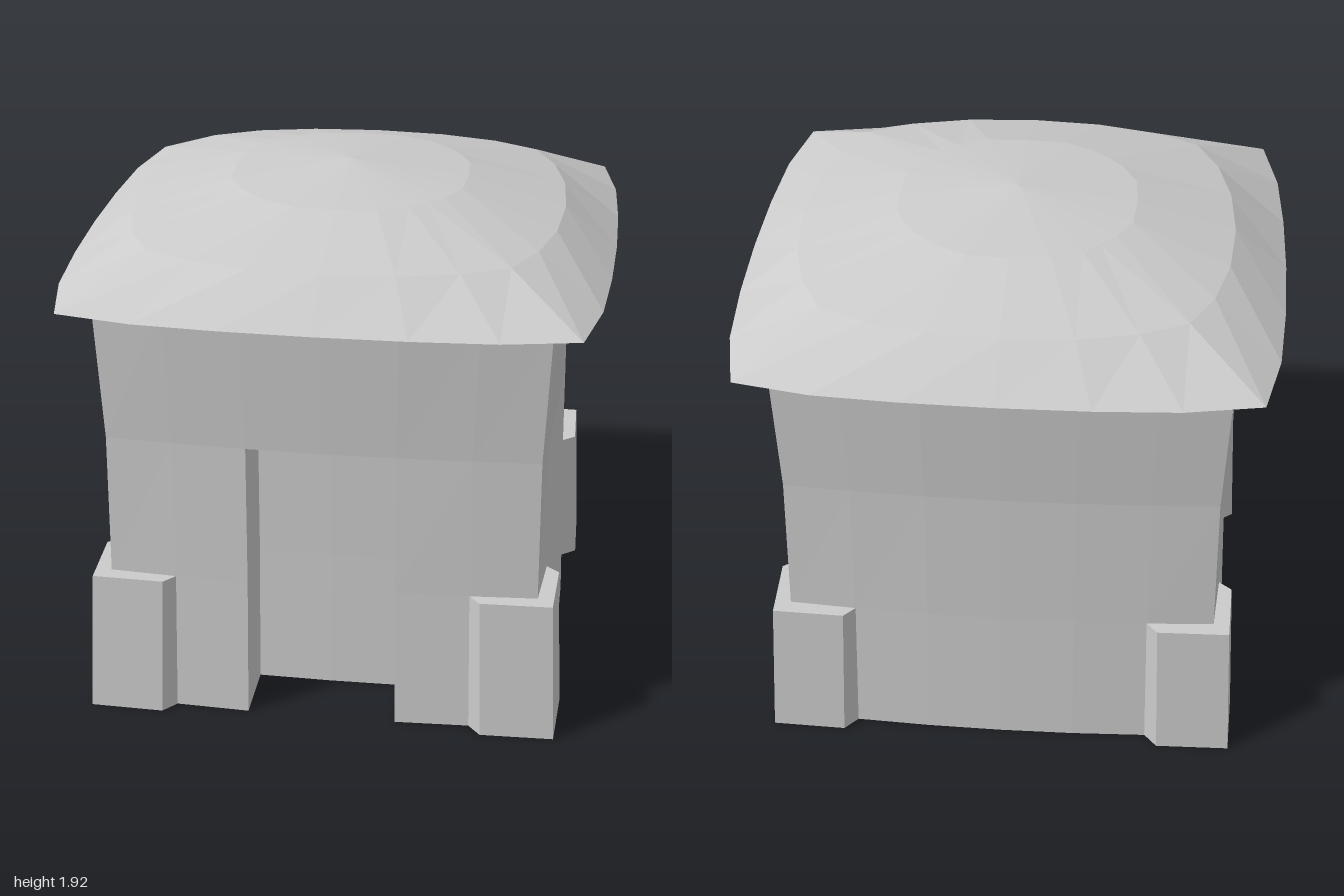
import * as THREE from 'three';
import { mergeGeometries } from 'three/addons/utils/BufferGeometryUtils.js';

const material = new THREE.MeshStandardMaterial({ color: 0xcccccc, flatShading: true });

// Closed square-ish ring of [x, z] points from half a side profile [along, outward], middle to corner
function squareRing(half) {
  const side = [...half.slice(1).reverse().map(([s, d]) => [-s, d]), ...half.slice(0, -1)];
  const ring = [];
  for (let k = 0; k < 4; k++) {
    for (const [s, d] of side) ring.push([[s, d], [d, -s], [-s, -d], [-d, s]][k]);
  }
  return ring;
}

function soup(quads) {
  const g = new THREE.BufferGeometry();
  const pos = quads.flatMap(([a, b, c, d]) => [a, b, c, a, c, d]).flat();
  g.setAttribute('position', new THREE.Float32BufferAttribute(pos, 3));
  g.computeVertexNormals();
  return g;
}

// Walls between stacked rings; skip(row, column) leaves openings
function loft(rings, heights, skip = () => false) {
  const quads = [];
  const at = (r, i) => {
    const [x, z] = rings[r][i % rings[r].length];
    return [x, heights[r], z];
  };
  for (let r = 0; r < rings.length - 1; r++) {
    for (let i = 0; i < rings[r].length; i++) {
      if (!skip(r, i)) quads.push([at(r, i), at(r, i + 1), at(r + 1, i + 1), at(r + 1, i)]);
    }
  }
  return soup(quads);
}

// Flat cap over an outline, facing up or down
function cap(outline, y, up) {
  const shape = new THREE.Shape(outline.map(([x, z]) => new THREE.Vector2(x, up ? -z : z)));
  const g = new THREE.ShapeGeometry(shape).toNonIndexed();
  g.deleteAttribute('uv');
  return g.rotateX(up ? -Math.PI / 2 : Math.PI / 2).translate(0, y, 0);
}

function part(name, ...geometries) {
  const mesh = new THREE.Mesh(mergeGeometries(geometries), material);
  mesh.name = name;
  return mesh;
}

export function createModel() {
  const group = new THREE.Group();

  // Bowed walls, waisted in the middle, with the doorway left open at the front
  const heights = [0, 0.545, 1.09, 1.62];
  const wallRings = [[0.84, 0.805], [0.825, 0.792], [0.82, 0.79], [0.85, 0.815]].map(([mid, corner]) =>
    squareRing([0, 0.345, 0.69, 1].map(t => [t * corner, mid - (mid - corner) * t * t])));
  const isDoor = (row, i) => row < 2 && (i === 2 || i === 3);

  // Doorway recess: back, jambs and lintel
  const depth = 0.26;
  const outer = (r, i) => [wallRings[r][i][0], heights[r], wallRings[r][i][1]];
  const inner = (r, i) => {
    const [x, y, z] = outer(r, i);
    return [x, y, z - depth];
  };
  const recess = [];
  for (let r = 0; r < 2; r++) {
    for (const i of [2, 3]) recess.push([inner(r, i), inner(r, i + 1), inner(r + 1, i + 1), inner(r + 1, i)]);
    recess.push([outer(r, 2), inner(r, 2), inner(r + 1, 2), outer(r + 1, 2)]);
    recess.push([inner(r, 4), outer(r, 4), outer(r + 1, 4), inner(r + 1, 4)]);
  }
  for (const i of [2, 3]) recess.push([inner(2, i), inner(2, i + 1), outer(2, i + 1), outer(2, i)]);

  // Underside follows the walls and the recess
  const base = wallRings[0];
  const back = [2, 3, 4].map(i => [base[i][0], base[i][1] - depth]);
  const floor = [...base.slice(0, 3), ...back, ...base.slice(4)];
  group.add(part('walls', loft(wallRings, heights, isDoor), cap(floor, 0, false)));
  group.add(part('doorway', soup(recess)));

  // Tapered corner buttresses with chamfered ends
  const foot = [[0.55, 0.82], [0.6, 0.88], [0.872, 0.872], [0.88, 0.6],
    [0.82, 0.55], [0.7, 0.55], [0.7, 0.7], [0.55, 0.7]];
  const top = foot.map(([x, z]) => [x * 0.975, z * 0.975]);
  for (let k = 0; k < 4; k++) {
    const buttress = part('buttress', loft([foot, top], [0, 0.545]), cap(top, 0.545, true), cap(foot, 0, false));
    buttress.rotation.y = k * Math.PI / 2;
    group.add(buttress);
  }

  // Faceted domed roof with overhanging eaves
  const roofRings = [
    [[0, 1], [0.33, 0.994], [0.64, 0.975], [0.92, 0.92]],
    [[0, 0.805], [0.26, 0.787], [0.48, 0.735], [0.65, 0.65]],
    [[0, 0.44], [0.15, 0.43], [0.26, 0.375], [0.32, 0.32]],
    [[0, 0], [0, 0], [0, 0], [0, 0]],
  ].map(squareRing);
  group.add(part('roof', loft(roofRings, [1.62, 1.772, 1.877, 1.925]), cap(roofRings[0], 1.62, false)));

  return group;
}
